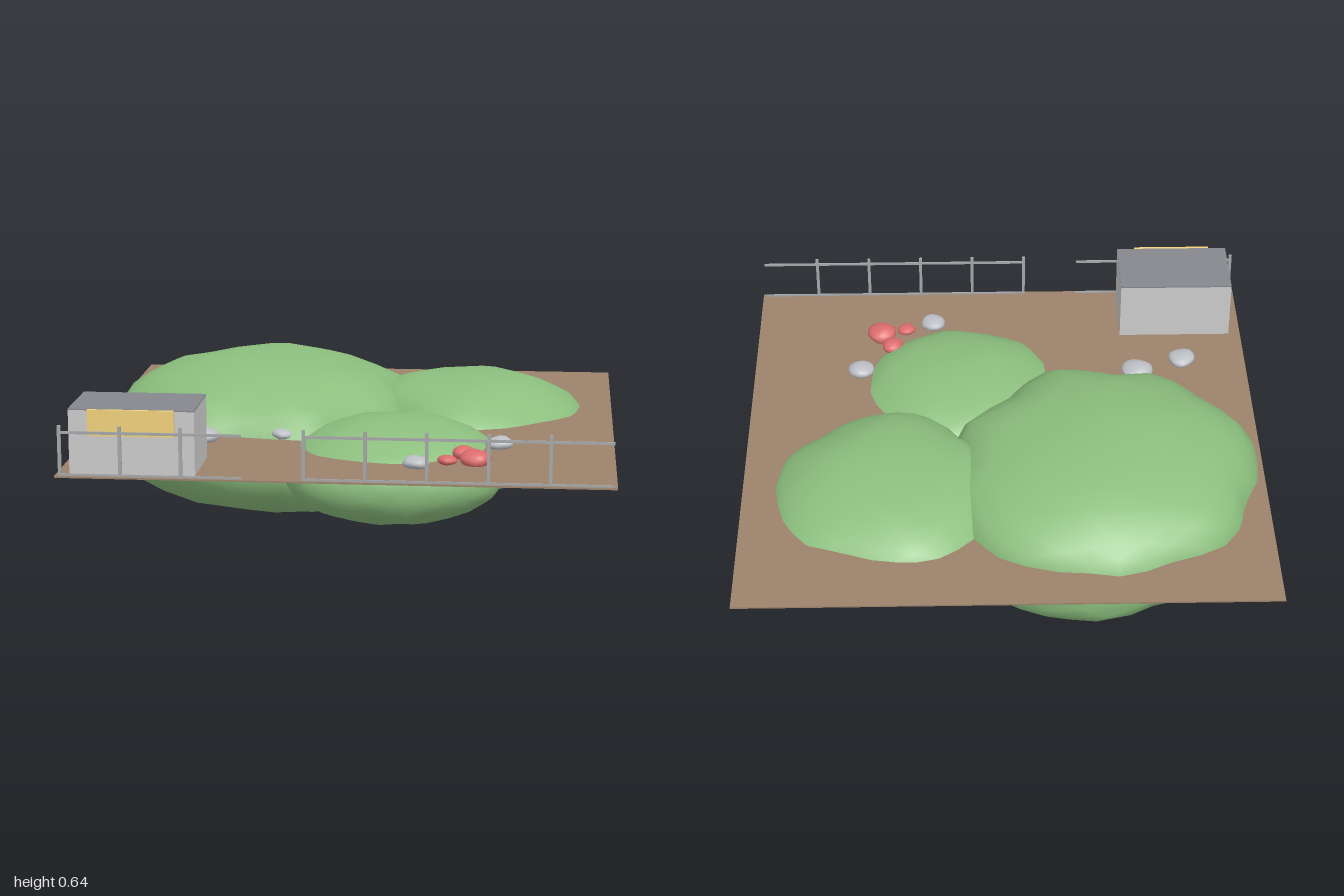
import * as THREE from 'three';
import { mergeVertices } from 'three/addons/utils/BufferGeometryUtils.js';

const GROUND = 0.405;
const mat = (color) => new THREE.MeshStandardMaterial({ color });

const green = mat(0x8cbf7e), brown = mat(0x9c826c), wall = mat(0xc4c5c8), slate = mat(0x85888d);
const yellow = mat(0xf0d27c), metal = mat(0xa6a8aa), stone = mat(0xbcc0c5), red = mat(0xdc6c6c);

function add(parent, name, geometry, material, x = 0, y = 0, z = 0) {
  const m = new THREE.Mesh(geometry, material);
  m.name = name;
  m.position.set(x, y, z);
  parent.add(m);
}

const box = (parent, name, material, w, h, d, x, y, z) =>
  add(parent, name, new THREE.BoxGeometry(w, h, d), material, x, y, z);

// Icosphere with shared vertices, so that normals come out smooth
function ball(detail, rule) {
  let g = new THREE.IcosahedronGeometry(1, detail);
  g.deleteAttribute('uv');
  g.deleteAttribute('normal');
  g = mergeVertices(g, 1e-4);
  const p = g.attributes.position, v = new THREE.Vector3();
  for (let i = 0; i < p.count; i++) {
    rule(v.fromBufferAttribute(p, i));
    p.setXYZ(i, v.x, v.y, v.z);
  }
  g.computeVertexNormals();
  return g;
}

const bumps = (v, s, k) =>
  Math.sin(k * v.x + s) * Math.sin(k * 1.1 * v.y + 2 * s) + Math.sin(k * 0.9 * v.z + 3 * s) * Math.cos(k * 1.2 * v.x - s);

// Lumpy mound: radii are the outline at ground level in 16 directions, from +x towards +z;
// a lower power gives fuller shoulders, lean moves the underside towards +x
function mound(parent, name, [x, y, z], ry, radii, seed, power, lean) {
  const level = Math.sqrt(1 - ((GROUND - y) / ry) ** (2 / power));
  const mean = radii.reduce((s, r) => s + r, 0) / 16;
  const geometry = ball(5, (v) => {
    const bump = 0.02 * bumps(v, seed, 5) + 0.014 * bumps(v, seed + 1, 11);
    const a = ((Math.atan2(v.z, v.x) / (2 * Math.PI) + 1) % 1) * 16;
    const i = Math.floor(a) % 16, t = a - Math.floor(a);
    const outline = radii[i] * (1 - t) + radii[(i + 1) % 16] * t;
    const blend = Math.min(1, 1.1 * (v.x * v.x + v.z * v.z));
    const r = (mean + (outline - mean) * blend) / level * (1 + bump * 0.6);
    const h = Math.sign(v.y) * Math.abs(v.y) ** power;
    v.set(v.x * r - lean * Math.min(0, v.y) * (1 - Math.abs(v.x)), h * ry * (1 + bump), v.z * r);
  });
  add(parent, name, geometry, green, x, y, z);
}

function rock(parent, name, material, x, z, r, ry, seed) {
  const geometry = ball(2, (v) => {
    const b = 1 + 0.06 * bumps(v, seed, 3);
    v.set(v.x * r * b, v.y * ry * b, v.z * r * b);
  });
  add(parent, name, geometry, material, x, GROUND + 0.02, z);
}

export function createModel() {
  const model = new THREE.Group();
  model.name = 'enclosure';

  // Flat plot that cuts through the mounds
  box(model, 'ground', brown, 1.985, 0.006, 1.985, 0.005, GROUND, -0.005);

  // Three overlapping mounds
  const hills = new THREE.Group();
  hills.name = 'hills';
  model.add(hills);
  mound(hills, 'largeHill', [-0.4, 0.315, -0.25], 0.308,
    [0.58, 0.63, 0.57, 0.67, 0.59, 0.64, 0.56, 0.61, 0.58, 0.53, 0.59, 0.57, 0.61, 0.62, 0.67, 0.65], 1.3, 0.78, 0.2);
  mound(hills, 'rightHill', [0.42, 0.31, -0.32], 0.235,
    [0.46, 0.46, 0.43, 0.47, 0.46, 0.42, 0.38, 0.42, 0.44, 0.44, 0.45, 0.455, 0.44, 0.44, 0.48, 0.46], 2.6, 0.95, 0);
  mound(hills, 'frontHill', [0.18, 0.305, 0.33], 0.193,
    [0.36, 0.37, 0.37, 0.37, 0.37, 0.38, 0.4, 0.39, 0.35, 0.36, 0.36, 0.35, 0.35, 0.36, 0.35, 0.37], 4.1, 0.9, 0);

  // Hut with a darker roof and a blank sign board on its front
  const hut = new THREE.Group();
  hut.name = 'hut';
  model.add(hut);
  box(hut, 'hutBody', wall, 0.45, 0.235, 0.285, -0.715, GROUND + 0.1175, 0.803);
  box(hut, 'hutRoof', slate, 0.45, 0.005, 0.285, -0.715, GROUND + 0.2375, 0.803);
  box(hut, 'signBoard', yellow, 0.31, 0.095, 0.014, -0.715, 0.597, 0.951);

  // Fence along the front with a gap; rails run past the last post
  const fence = new THREE.Group();
  fence.name = 'fence';
  model.add(fence);
  const step = 0.216;
  for (const [start, posts, end] of [[-0.968, 3, -0.32], [-0.1, 5, 0.985]]) {
    for (let i = 0; i < posts; i++) {
      box(fence, 'fencePost', metal, 0.012, 0.185, 0.01, start + i * step, GROUND + 0.0925, 0.975);
    }
    for (const y of [GROUND + 0.006, 0.565]) {
      box(fence, 'fenceRail', metal, end - start, 0.01, 0.005, (start + end) / 2, y, 0.975);
    }
  }

  // Scattered boulders: x, z, radius, half height
  const rocks = new THREE.Group();
  rocks.name = 'rocks';
  model.add(rocks);
  [[-0.73, 0.47, 0.056, 0.026], [-0.545, 0.39, 0.062, 0.032], [-0.25, 0.33, 0.047, 0.022],
    [0.57, 0.415, 0.052, 0.025], [0.28, 0.74, 0.051, 0.025]]
    .forEach(([x, z, r, h], i) => rock(rocks, 'boulder', stone, x, z, r, h, i + 1));
  [[0.445, 0.58, 0.045, 0.027], [0.49, 0.67, 0.058, 0.035], [0.39, 0.695, 0.035, 0.018]]
    .forEach(([x, z, r, h], i) => rock(rocks, 'redRock', red, x, z, r, h, i + 7));

  return model;
}
